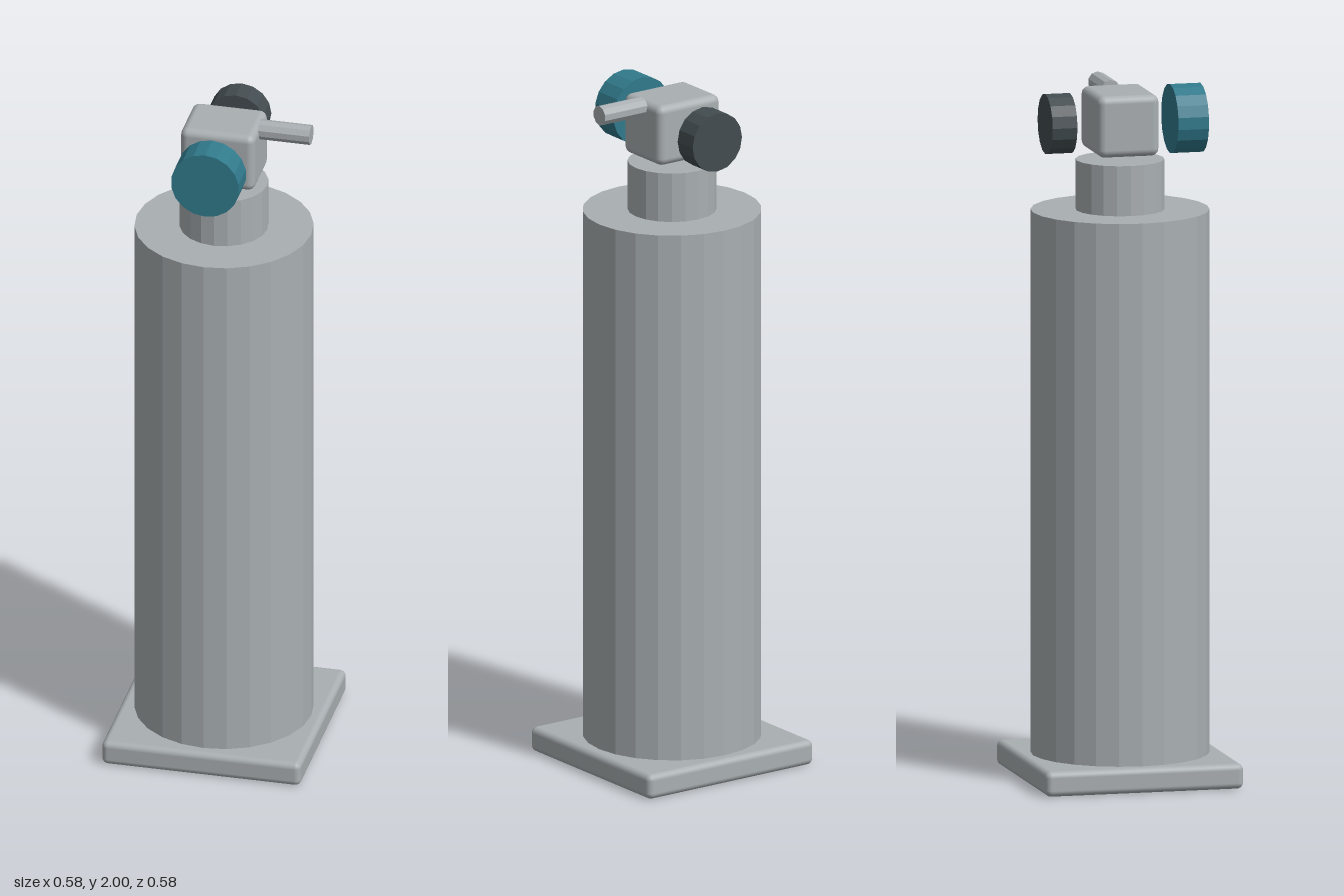
import * as THREE from 'three';
import { RoundedBoxGeometry } from 'three/addons/geometries/RoundedBoxGeometry.js';

const material = (name, color, flatShading) => {
  const m = new THREE.MeshStandardMaterial({ color });
  m.name = name;
  m.flatShading = flatShading;
  return m;
};

export function createModel() {
  const group = new THREE.Group();
  const grey = material('galvanisedGrey', 0xa9afb2, false);
  const teal = material('tealCap', 0x317a8c, false);
  const dark = material('darkCap', 0x434c50, false);

  const add = (name, geometry, mat, x, y, z) => {
    const mesh = new THREE.Mesh(geometry, mat);
    mesh.name = name;
    mesh.position.set(x, y, z);
    group.add(mesh);
  };

  // Faceted cylinder: unshared corners give flat sides
  const faceted = (radius, length, sides) => {
    const g = new THREE.CylinderGeometry(radius, radius, length, sides).toNonIndexed();
    g.computeVertexNormals();
    return g;
  };

  // Square foot plate with softened edges
  add('basePlate', new RoundedBoxGeometry(0.583, 0.073, 0.583, 3, 0.018), grey, 0, 0.0365, 0);

  // Main column and the narrower neck on top
  add('column', faceted(0.256, 1.574, 24), grey, 0, 0.858, 0);
  add('neck', faceted(0.127, 0.145, 20), grey, 0, 1.7175, 0);

  // Valve head
  add('valveHead', new RoundedBoxGeometry(0.218, 0.178, 0.18, 3, 0.022), grey, 0, 1.9, 0);

  // Outlet caps, front and back
  add('frontCap', faceted(0.1, 0.09, 18).rotateX(Math.PI / 2), teal, 0, 1.9, 0.192);
  add('backCap', faceted(0.087, 0.073, 16).rotateX(Math.PI / 2), dark, 0, 1.9, -0.184);

  // Side lever, one corner pointing straight up
  const lever = faceted(0.029, 0.15, 10).rotateY(Math.PI / 2).rotateZ(Math.PI / 2);
  add('sideLever', lever, grey, 0.181, 1.971, 0);

  return group;
}
